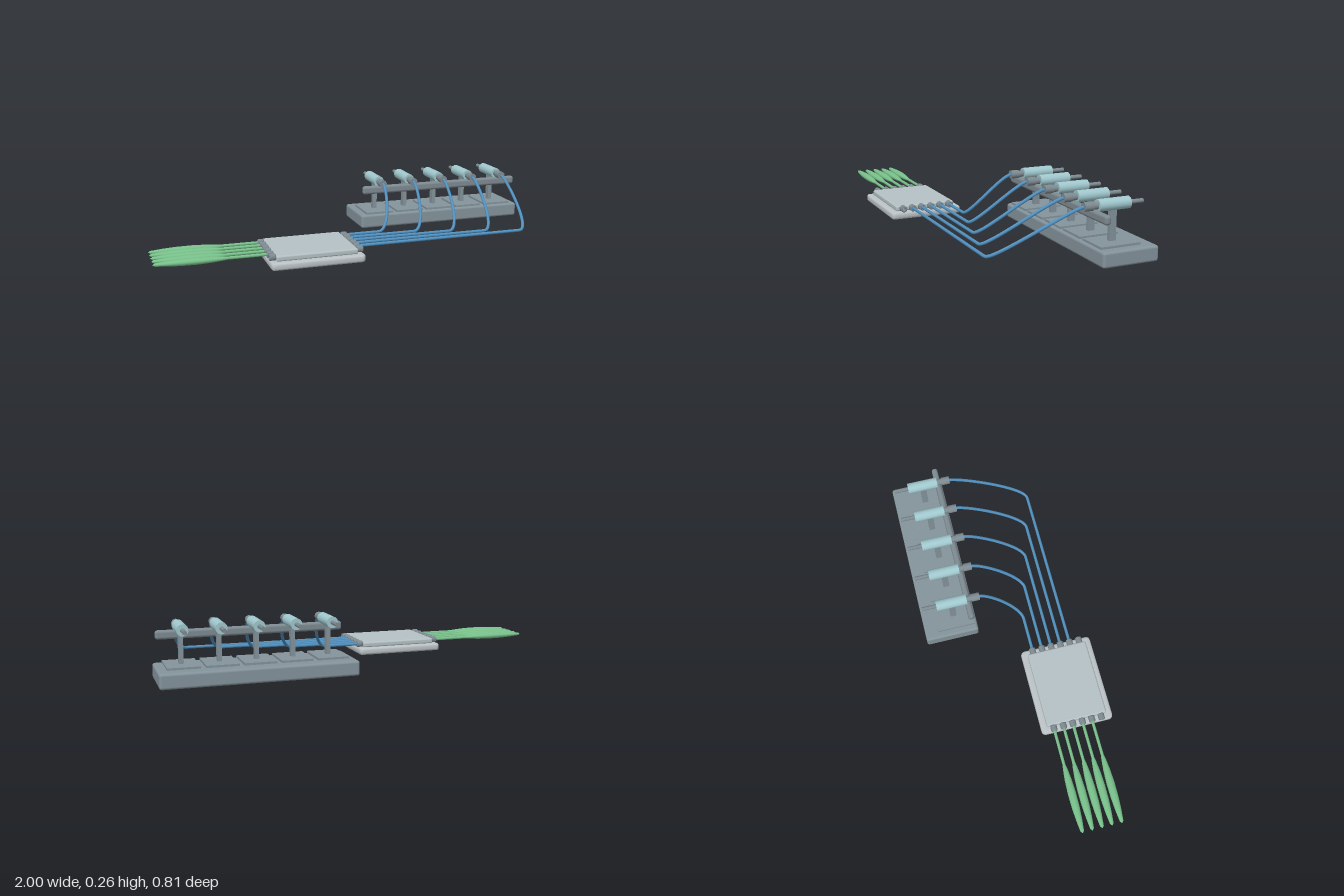
import * as THREE from 'three';
import { RoundedBoxGeometry } from 'three/addons/geometries/RoundedBoxGeometry.js';
import { toCreasedNormals } from 'three/addons/utils/BufferGeometryUtils.js';

const material = (name, color) => Object.assign(new THREE.MeshStandardMaterial({ color }), { name });
const mats = {
  manifold: material('slate grey', 0x84939b),
  steel: material('steel grey', 0x7d8a91),
  body: material('pale teal', 0xa0c8ce),
  frame: material('light grey', 0xbcc3c6),
  lid: material('cool light grey', 0xb4c1c4),
  tube: material('blue tubing', 0x5090bf),
  leaf: material('soft green', 0x78c08a),
};

function add(parent, name, geometry, mat, x = 0, y = 0, z = 0) {
  const mesh = new THREE.Mesh(geometry, mat);
  mesh.name = name;
  mesh.position.set(x, y, z);
  parent.add(mesh);
  return mesh;
}

// Cylinder lying along z between two depths
function rodZ(radius, z0, z1) {
  return new THREE.CylinderGeometry(radius, radius, Math.abs(z1 - z0), 24)
    .rotateX(Math.PI / 2).translate(0, 0, (z0 + z1) / 2);
}

function roundedRect(target, w, h, r) {
  const x = w / 2, y = h / 2;
  target.moveTo(-x + r, -y);
  target.lineTo(x - r, -y);
  target.quadraticCurveTo(x, -y, x, -y + r);
  target.lineTo(x, y - r);
  target.quadraticCurveTo(x, y, x - r, y);
  target.lineTo(-x + r, y);
  target.quadraticCurveTo(-x, y, -x, y - r);
  target.lineTo(-x, -y + r);
  target.quadraticCurveTo(-x, -y, -x + r, -y);
  return target;
}

const CHIP_X = -0.275, CHIP_Z = 0.224, PORT_Y = 0.049;
const valveX = i => 0.545 + (i - 2) * 0.168;
const portZ = i => 0.104 + i * 0.048;

// Base block, rail and five valve units
function buildValveBank() {
  const bank = new THREE.Group();
  bank.name = 'valveBank';
  add(bank, 'baseBlock', new RoundedBoxGeometry(0.89, 0.07, 0.268, 3, 0.012), mats.manifold, 0.55, 0.035, -0.267);
  add(bank, 'rail', new RoundedBoxGeometry(0.864, 0.042, 0.03, 3, 0.013), mats.steel, 0.549, 0.197, -0.16);
  for (let i = 0; i < 5; i++) {
    const unit = new THREE.Group();
    unit.name = 'valve' + (i + 1);
    unit.position.x = valveX(i);
    add(unit, 'pad', new THREE.BoxGeometry(0.145, 0.012, 0.19), mats.manifold, 0, 0.074, -0.24);
    add(unit, 'post', new THREE.BoxGeometry(0.02, 0.145, 0.03), mats.manifold, 0, 0.15, -0.24);
    add(unit, 'barrel', rodZ(0.0265, -0.165, -0.317), mats.body, 0, 0.237);
    add(unit, 'plunger', rodZ(0.0095, -0.31, -0.387), mats.steel, 0, 0.237);
    add(unit, 'neck', rodZ(0.0155, -0.13, -0.17), mats.steel, 0, 0.237);
    add(unit, 'collar', rodZ(0.0195, -0.1, -0.141), mats.steel, 0, 0.237);
    bank.add(unit);
  }
  return bank;
}

// Flat plate with a recessed underside, lid and ports
function buildChip() {
  const chip = new THREE.Group();
  chip.name = 'chip';
  chip.position.set(CHIP_X, 0, CHIP_Z);
  const bevel = 0.01;
  const outline = roundedRect(new THREE.Shape(), 0.44 - 2 * bevel, 0.36 - 2 * bevel, 0.012);
  outline.holes.push(roundedRect(new THREE.Path(), 0.345, 0.265, 0.006));
  const frame = new THREE.ExtrudeGeometry(outline, {
    depth: 0.035 - 2 * bevel, bevelEnabled: true, bevelSize: bevel, bevelThickness: bevel, bevelSegments: 3, curveSegments: 5,
  }).rotateX(-Math.PI / 2).translate(0, bevel, 0);
  add(chip, 'frame', toCreasedNormals(frame, 0.7), mats.frame);
  add(chip, 'lid', new RoundedBoxGeometry(0.382, 0.028, 0.302, 3, 0.009), mats.lid, 0, 0.0465, 0);

  // Hollow ring ports on both edges
  const ring = [[0.008, -0.015], [0.013, -0.015], [0.016, -0.012], [0.016, 0.012], [0.013, 0.015], [0.008, 0.015], [0.008, -0.015]];
  const portGeometry = toCreasedNormals(
    new THREE.LatheGeometry(ring.map(p => new THREE.Vector2(...p)), 20).rotateZ(Math.PI / 2).toNonIndexed(), 0.6);
  for (const side of [-1, 1]) {
    for (let i = 0; i < 6; i++) {
      add(chip, 'port', portGeometry, mats.steel, side * 0.205, PORT_Y, portZ(i) - CHIP_Z);
    }
  }
  return chip;
}

// Blue line: straight run from the chip, then a sweep up into a valve
function buildTube(i) {
  const x = valveX(i), z = portZ(i);
  const v = (a, b, c) => new THREE.Vector3(a, b, c);
  const path = new THREE.CurvePath();
  path.add(new THREE.LineCurve3(v(-0.08, PORT_Y, z), v(x - 0.1, PORT_Y, z)));
  path.add(new THREE.CubicBezierCurve3(
    v(x - 0.1, PORT_Y, z), v(x - 0.03, PORT_Y, z), v(x, 0.237, -0.05), v(x, 0.237, -0.105)));
  return new THREE.TubeGeometry(path, 90, 0.0075, 10, false);
}

// Slender green blade on a thin stem
function buildBlade(z) {
  const blade = new THREE.Group();
  blade.name = 'blade';
  blade.position.set(0, PORT_Y, z);
  add(blade, 'stem', new THREE.CylinderGeometry(0.0075, 0.0075, 0.22, 12).rotateZ(Math.PI / 2), mats.leaf, -0.585);
  const profile = [[0, -0.175], [0.005, -0.172], [0.011, -0.14], [0.017, -0.085], [0.02, -0.02],
    [0.019, 0.05], [0.015, 0.11], [0.009, 0.165], [0, 0.175]].map(p => new THREE.Vector2(...p));
  const leaf = add(blade, 'leaf', new THREE.LatheGeometry(profile, 16).rotateZ(Math.PI / 2), mats.leaf, -0.825);
  leaf.scale.y = 0.78;
  return blade;
}

export function createModel() {
  const model = new THREE.Group();
  model.name = 'fluidicBench';
  model.add(buildValveBank(), buildChip());
  for (let i = 0; i < 5; i++) {
    add(model, 'tube' + (i + 1), buildTube(i), mats.tube);
    model.add(buildBlade(portZ(i)));
  }
  return model;
}
